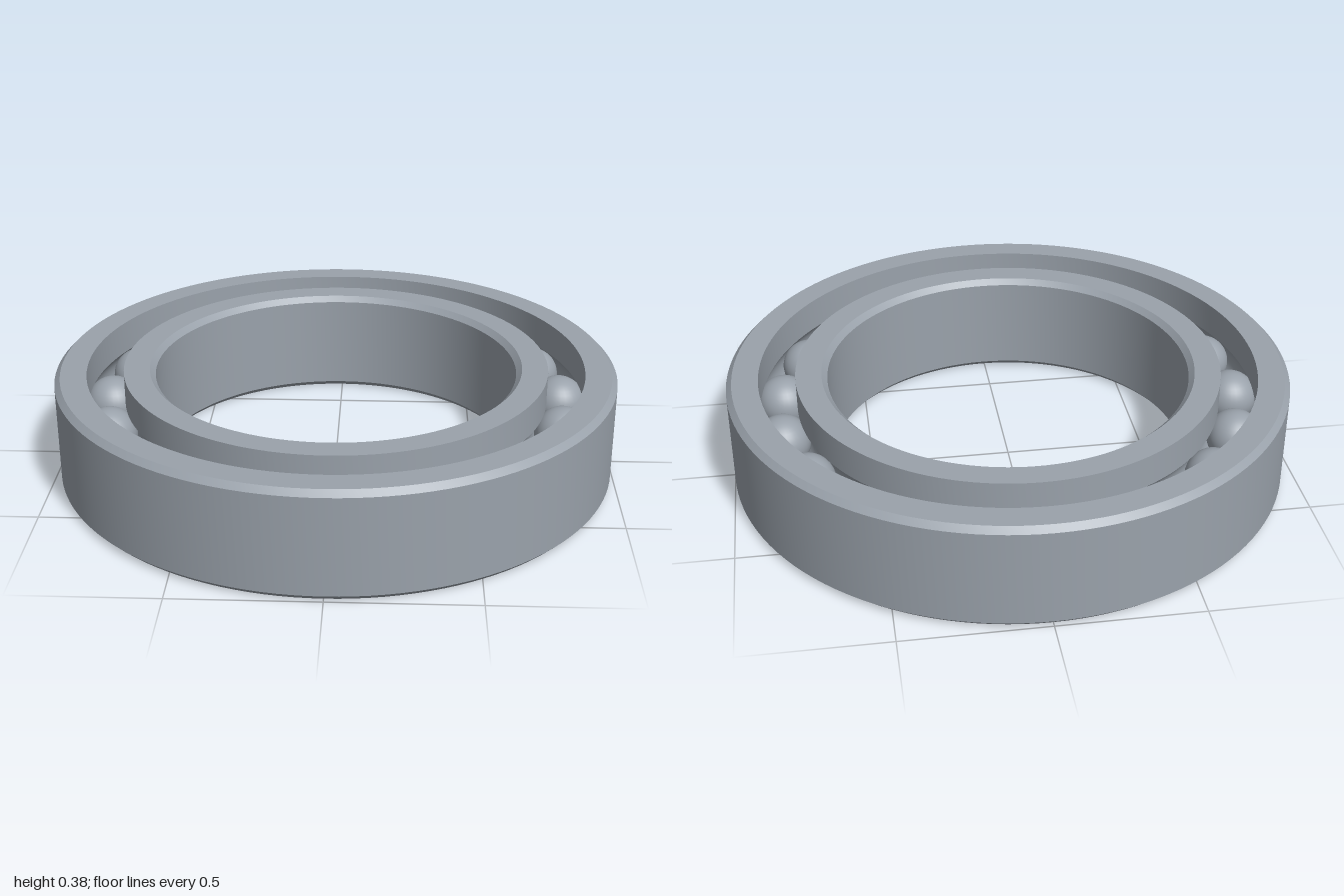
import * as THREE from 'three';
import { toCreasedNormals } from 'three/addons/utils/BufferGeometryUtils.js';

const HEIGHT = 0.385;
const MID = HEIGHT / 2;
const CHAMFER = 0.02;
const PITCH = 0.822;      // radius of the circle of balls
const HALF_GAP = 0.065;   // half the gap between the rings
const GROOVE = 0.1;
const BALL = 0.098;
const BALLS = 19;

// Arc of a race groove; side is +1 on the outer ring, -1 on the inner ring.
// The arc always runs so that the ring's profile stays counter-clockwise.
function grooveArc(side) {
  const half = Math.acos(HALF_GAP / GROOVE);
  const points = [];
  for (let i = 0; i <= 12; i++) {
    const t = side * half * (1 - i / 6);
    points.push([PITCH + side * GROOVE * Math.cos(t), MID + GROOVE * Math.sin(t)]);
  }
  return points;
}

// Revolve a closed [radius, y] profile, keeping the machined edges sharp
function ring(name, profile, material) {
  const points = [...profile, profile[0]].map(([r, y]) => new THREE.Vector2(r, y));
  const mesh = new THREE.Mesh(toCreasedNormals(new THREE.LatheGeometry(points, 128), 0.5), material);
  mesh.name = name;
  return mesh;
}

export function createModel() {
  const model = new THREE.Group();
  model.name = 'ballBearing';
  const steel = new THREE.MeshStandardMaterial({ color: 0x9aa2ab });
  steel.name = 'steel';

  // Outer ring, chamfered on its outside edges
  const outer = PITCH + HALF_GAP;
  model.add(ring('outerRing', [
    [outer, 0], [1 - CHAMFER, 0], [1, CHAMFER], [1, HEIGHT - CHAMFER],
    [1 - CHAMFER, HEIGHT], [outer, HEIGHT], ...grooveArc(1),
  ], steel));

  // Inner ring, chamfered around its bore
  const inner = PITCH - HALF_GAP;
  const bore = 0.645;
  model.add(ring('innerRing', [
    [inner, HEIGHT], [bore + CHAMFER, HEIGHT], [bore, HEIGHT - CHAMFER],
    [bore, CHAMFER], [bore + CHAMFER, 0], [inner, 0], ...grooveArc(-1),
  ], steel));

  // Balls running in the grooves
  const balls = new THREE.Group();
  balls.name = 'balls';
  const ballGeometry = new THREE.SphereGeometry(BALL, 32, 20);
  for (let i = 0; i < BALLS; i++) {
    const angle = -0.124 + (i / BALLS) * Math.PI * 2;
    const ball = new THREE.Mesh(ballGeometry, steel);
    ball.name = `ball${i + 1}`;
    ball.position.set(PITCH * Math.cos(angle), MID, PITCH * Math.sin(angle));
    balls.add(ball);
  }
  model.add(balls);
  return model;
}
